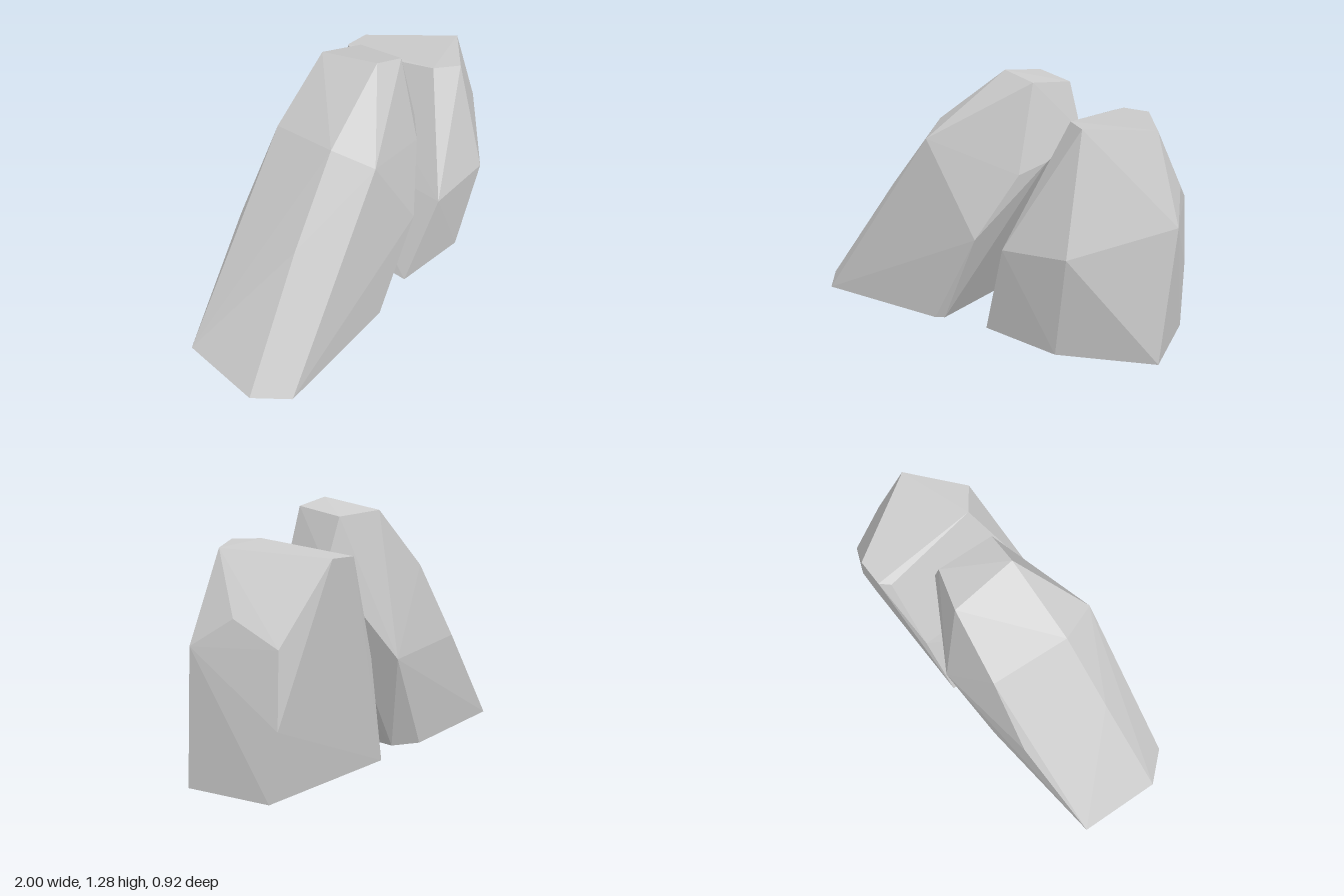
import * as THREE from 'three';
import { ConvexGeometry } from 'three/addons/geometries/ConvexGeometry.js';

const material = new THREE.MeshStandardMaterial({ color: 0xcccccc, flatShading: true });

// A faceted boulder: the hull around a few corner points
function boulder(name, corners) {
  const points = corners.map((c) => new THREE.Vector3(...c));
  const mesh = new THREE.Mesh(new ConvexGeometry(points), material);
  mesh.name = name;
  return mesh;
}

export function createModel() {
  const group = new THREE.Group();
  group.name = 'boulders';

  group.add(boulder('leaningBoulder', [
    // ground outline
    [-1, 0, 0.31], [-0.86, 0, 0.46], [-0.16, 0, 0.36], [-0.12, 0, 0.33],
    [-0.13, 0, -0.19], [-0.27, 0, -0.26], [-1, 0, -0.14],
    // sloping back and front ridge
    [-0.59, 0.6, 0.21], [-0.29, 1.0, 0.15], [-0.2, 0.95, 0.35],
    [-0.54, 0.54, -0.25], [-0.27, 0.94, -0.25], [0.02, 0.51, -0.36],
    // overhanging side
    [0.1, 0.49, 0.34], [0.26, 0.82, 0.2], [0.35, 0.88, 0.1], [0.34, 0.97, -0.19],
    // peak
    [0.08, 1.285, 0.085], [0.25, 1.245, 0.085], [0.26, 1.205, -0.2], [0.04, 1.23, -0.25],
  ]));

  group.add(boulder('uprightBoulder', [
    // ground outline
    [0.12, 0, 0.28], [0.55, 0, 0.28], [0.98, 0, 0.05],
    [0.86, 0, -0.37], [0.38, 0, -0.31], [0.08, 0, -0.31],
    // widest corners
    [0.28, 0.49, 0.35], [0.64, 0.53, 0.335], [1, 0.67, -0.02], [0.9, 0.8, -0.2],
    [0.84, 0.33, -0.41], [0.82, 0.68, -0.4], [0.21, 0.55, -0.36], [0.37, 0.95, -0.42],
    // top
    [0.48, 1.1, 0.1], [0.6, 1.1, 0.18], [0.85, 1.09, -0.05],
    [0.56, 1.05, -0.46], [0.42, 1.05, -0.45], [0.385, 1.04, -0.4],
  ]));

  return group;
}
